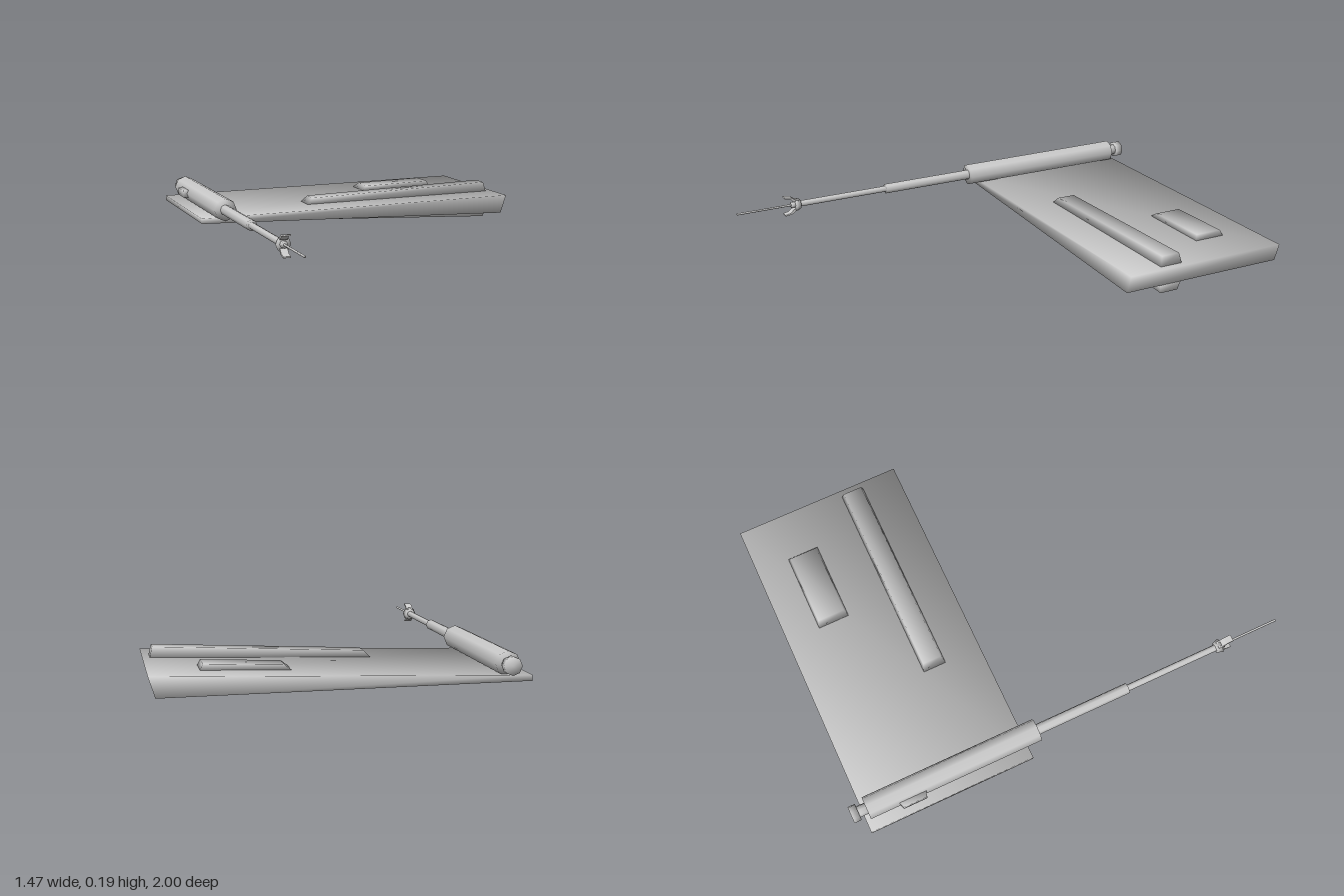
import * as THREE from 'three';

const grey = new THREE.MeshStandardMaterial({ color: 0xcccccc });
grey.name = 'light grey';

export function createModel() {
  const model = new THREE.Group();
  model.name = 'wingWithCannon';

  const add = (name, geometry, parent = model) => {
    const mesh = new THREE.Mesh(geometry, grey);
    mesh.name = name;
    parent.add(mesh);
    return mesh;
  };

  // Box whose corners come from a rule on their signs, with soft corner normals
  const block = (name, corner, parent) => {
    const g = new THREE.BoxGeometry(2, 2, 2);
    const p = g.attributes.position, n = g.attributes.normal;
    const v = new THREE.Vector3();
    for (let i = 0; i < p.count; i++) {
      v.fromBufferAttribute(p, i);
      p.setXYZ(i, ...corner(v.x, v.y, v.z));
      v.normalize();
      n.setXYZ(i, v.x, v.y, v.z);
    }
    return add(name, g, parent);
  };
  const pick = (s, a, b) => (s < 0 ? a : b);
  const midY = 0.083;

  // Wing panel: thin at the tip, thick and slanted at the root
  block('wing', (sx, sy, sz) => [
    sx < 0 ? -0.735 : pick(sy, 0.703, 0.73),
    midY + sy * pick(sx, 0.0115, 0.041),
    pick(sz, -0.953, -0.208),
  ]);

  // Bevelled fairings on the upper and lower surfaces
  const fairings = [
    { name: 'LongFairing', x: [-0.2, 0.7], topX: [-0.172, 0.69], z: [-0.474, -0.371], base: [0.021, 0.038], h: [0.05, 0.083] },
    { name: 'ShortFairing', x: [0.172, 0.527], topX: [0.2, 0.515], z: [-0.806, -0.666], base: [0.028, 0.035], h: [0.049, 0.06] },
  ];
  for (const f of fairings) {
    for (const side of [1, -1]) {
      block((side > 0 ? 'upper' : 'lower') + f.name, (sx, sy, sz) => {
        const outer = sy * side > 0;
        const i = sx < 0 ? 0 : 1;
        return [
          (outer ? f.topX : f.x)[i],
          midY + side * (outer ? f.h : f.base)[i],
          pick(sz, f.z[0], f.z[1]) - (outer ? sz * 0.01 : 0),
        ];
      });
    }
  }

  // Cannon along z, at the wing tip
  const cannon = new THREE.Group();
  cannon.name = 'cannon';
  cannon.position.set(-0.643, 0.137, 0);
  model.add(cannon);

  // Closed turned part from z0 (radius r0) to z1 (radius r1)
  const turned = (name, z0, z1, r0, r1 = r0, sides = 8) => {
    const points = [[0, z0], [r0, z0], [r1, z1], [0, z1]].map(([r, z]) => new THREE.Vector2(r, z));
    add(name, new THREE.LatheGeometry(points, sides).rotateX(Math.PI / 2), cannon);
  };
  turned('receiver', -0.932, -0.148, 0.05);
  turned('rearNeck', -0.975, -0.92, 0.025);
  turned('rearCap', -1, -0.968, 0.037);
  turned('barrelSleeve', -0.16, 0.281, 0.0235);
  turned('barrel', 0.27, 0.72, 0.0145);
  turned('muzzleCollar', 0.703, 0.728, 0.023, 0.031);
  turned('muzzleTip', 0.72, 0.745, 0.0145);
  turned('needle', 0.73, 1, 0.005, 0.005, 6);

  // Flared prongs above and below the needle
  const prong = new THREE.Shape([
    [0.712, 0.012], [0.737, 0.018], [0.752, 0.033], [0.779, 0.039],
    [0.778, 0.045], [0.746, 0.04], [0.728, 0.027], [0.712, 0.024],
  ].map(([z, y]) => new THREE.Vector2(z, y)));
  for (const turn of [0, Math.PI]) {
    const g = new THREE.ExtrudeGeometry(prong, { depth: 0.03, bevelEnabled: false });
    g.translate(0, 0, -0.015).rotateY(-Math.PI / 2).rotateZ(turn);
    add(turn ? 'lowerProng' : 'upperProng', g, cannon);
  }

  // Bevelled side housing on the receiver
  block('sideHousing', (sx, sy, sz) => [
    pick(sx, -0.066, -0.03),
    sy * pick(sx, 0.016, 0.019),
    -0.738 + sz * pick(sx, 0.053, 0.066),
  ], cannon);

  return model;
}
